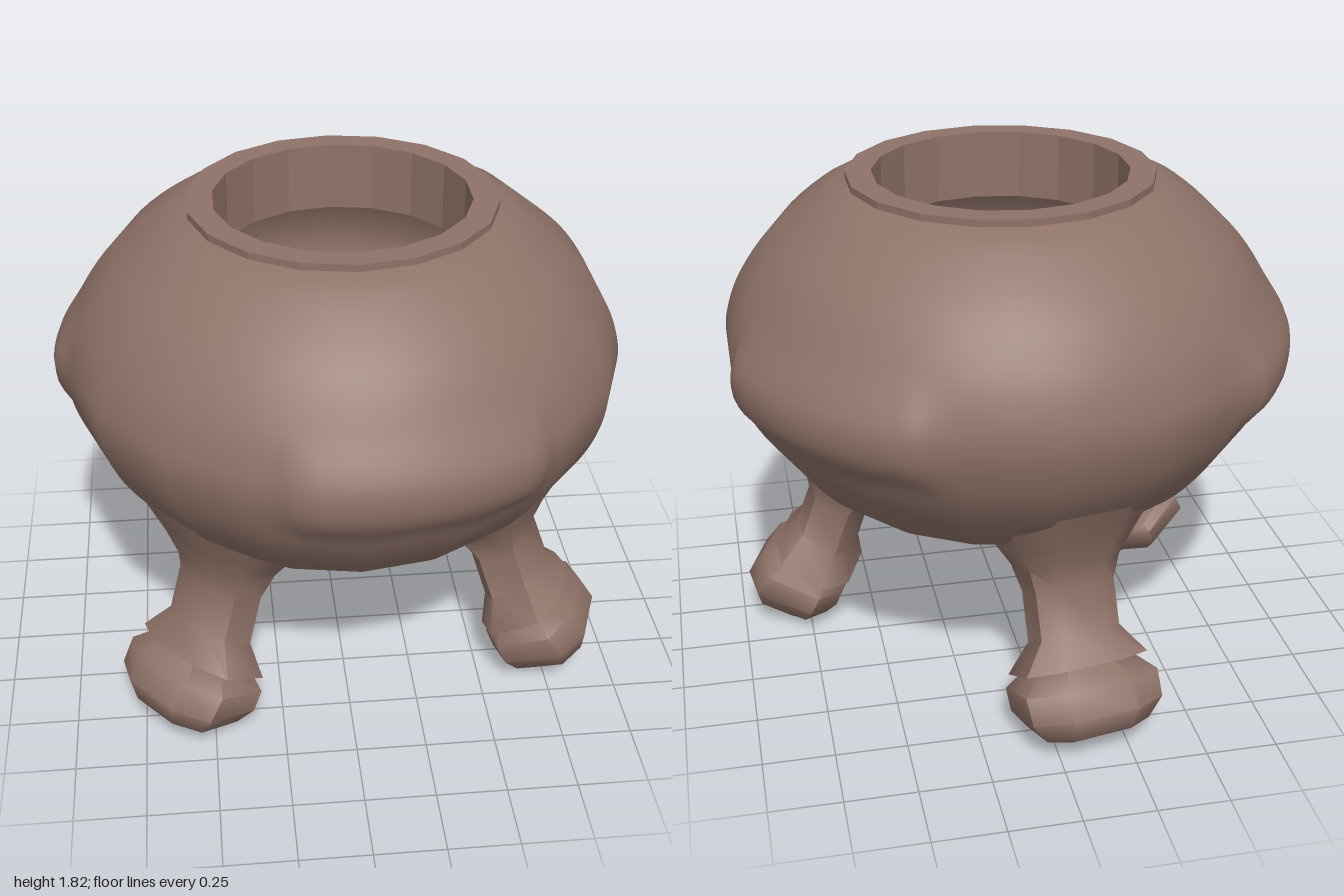
import * as THREE from 'three';
import { mergeVertices, toCreasedNormals } from 'three/addons/utils/BufferGeometryUtils.js';

const v2 = (list) => list.map(([x, y]) => new THREE.Vector2(x, y));
const rad = THREE.MathUtils.degToRad;
const smooth = THREE.MathUtils.smoothstep;
const LEG_ANGLES = [20, 140, 260];
const BULGE_ANGLES = [80, 200, 320];

// Round pot wall with a low bulge between each pair of legs
function bodyGeometry() {
  const profile = new THREE.SplineCurve(v2([
    [0, 0.56], [0.2, 0.565], [0.38, 0.59], [0.57, 0.66], [0.73, 0.77], [0.86, 0.92], [0.94, 1.06],
    [0.98, 1.21], [0.965, 1.33], [0.91, 1.46], [0.8, 1.61], [0.63, 1.75], [0.52, 1.795],
  ])).getPoints(48);
  profile[0].x = 0;
  let geo = new THREE.LatheGeometry(profile, 108);
  geo.deleteAttribute('uv');
  geo.deleteAttribute('normal');
  geo = mergeVertices(geo, 1e-4);
  const pos = geo.attributes.position;
  const chord = [];
  for (let i = 0; i < pos.count; i++) {
    const x = pos.getX(i), y = pos.getY(i), z = pos.getZ(i);
    const r = Math.hypot(x, z);
    const deg = THREE.MathUtils.radToDeg(Math.atan2(z, x));
    let side = 0;
    for (const c of BULGE_ANGLES) {
      const d = Math.abs(((deg - c + 540) % 360) - 180);
      side = Math.max(side, 1 - smooth(d, 22, 29));
    }
    const b = side * smooth(y, 1.02, 1.17) * (1 - smooth(y, 1.25, 1.45));
    const k = r > 0 ? 1 + (0.04 * b) / r : 1;
    pos.setXYZ(i, x * k, y, z * k);
    // eighteen-sided outline away from the bulges
    const phi = ((Math.atan2(x, z) + Math.PI * 2) % rad(20)) - rad(10);
    chord.push(THREE.MathUtils.lerp(Math.cos(rad(10)) / Math.cos(phi), 1, b));
  }
  geo.computeVertexNormals();
  for (let i = 0; i < pos.count; i++) {
    pos.setXYZ(i, pos.getX(i) * chord[i], pos.getY(i), pos.getZ(i) * chord[i]);
  }
  return geo;
}

// Rounded cross-sections from top to bottom: [inner r, inner y, outer r, outer y, half width]
const OUTLINE = [[1, -0.5], [1, 0.5], [0.6, 1], [-0.6, 1], [-1, 0.5], [-1, -0.5], [-0.6, -1], [0.6, -1]];
function loft(rings) {
  const n = OUTLINE.length, verts = [], index = [];
  for (const [ri, yi, ro, yo, hw] of rings) {
    for (const [s, t] of OUTLINE) {
      const f = (s + 1) / 2;
      verts.push(ri + (ro - ri) * f, yi + (yo - yi) * f, t * hw);
    }
  }
  for (let j = 0; j < rings.length - 1; j++) {
    for (let k = 0; k < n; k++) {
      const a = j * n + k, b = j * n + ((k + 1) % n);
      index.push(a, b, a + n, b, b + n, a + n);
    }
  }
  const last = (rings.length - 1) * n;
  for (let k = 1; k < n - 1; k++) {
    index.push(0, k + 1, k);
    index.push(last, last + k, last + k + 1);
  }
  const geo = new THREE.BufferGeometry();
  geo.setAttribute('position', new THREE.Float32BufferAttribute(verts, 3));
  geo.setIndex(index);
  return toCreasedNormals(geo, rad(52));
}

export function createModel() {
  const model = new THREE.Group();
  model.name = 'cauldron';
  const clay = new THREE.MeshStandardMaterial({ color: 0x8f7368 });
  clay.name = 'brown clay';

  const pot = new THREE.Group();
  pot.name = 'pot';
  pot.position.set(0.02, 0, -0.02);
  model.add(pot);
  const add = (parent, name, geo) => {
    const mesh = new THREE.Mesh(geo, clay);
    mesh.name = name;
    parent.add(mesh);
  };

  add(pot, 'body', bodyGeometry());

  // Faceted rim with its straight inner neck
  const rim = new THREE.LatheGeometry(v2([
    [0.535, 1.75], [0.535, 1.815], [0.445, 1.815], [0.445, 1.57],
  ]), 18).toNonIndexed();
  rim.computeVertexNormals();
  add(pot, 'rim', rim);

  // Hollow inside of the pot
  add(pot, 'interior', new THREE.LatheGeometry(v2([
    [0.445, 1.57], [0.72, 1.53], [0.85, 1.38], [0.9, 1.2], [0.85, 1.02], [0.72, 0.85],
    [0.52, 0.71], [0.28, 0.64], [0, 0.62],
  ]), 36));

  // Three splayed legs, each with a flared ankle and a blunt foot
  const legGeo = loft([
    [0.28, 0.70, 0.84, 0.92, 0.27],
    [0.36, 0.61, 0.77, 0.76, 0.215],
    [0.45, 0.54, 0.735, 0.65, 0.165],
    [0.52, 0.46, 0.725, 0.56, 0.145],
    [0.58, 0.28, 0.78, 0.41, 0.145],
    [0.58, 0.17, 0.86, 0.325, 0.225],
  ]);
  const footGeo = loft([
    [0.61, 0.19, 0.84, 0.31, 0.18],
    [0.60, 0.14, 0.91, 0.27, 0.245],
    [0.63, 0.07, 0.97, 0.19, 0.24],
    [0.68, 0.015, 0.96, 0.11, 0.19],
    [0.72, 0, 0.83, 0, 0.12],
  ]);
  for (const angle of LEG_ANGLES) {
    const leg = new THREE.Group();
    leg.name = 'leg';
    leg.rotation.y = -rad(angle);
    add(leg, 'shin', legGeo);
    add(leg, 'foot', footGeo);
    pot.add(leg);
  }
  return model;
}
